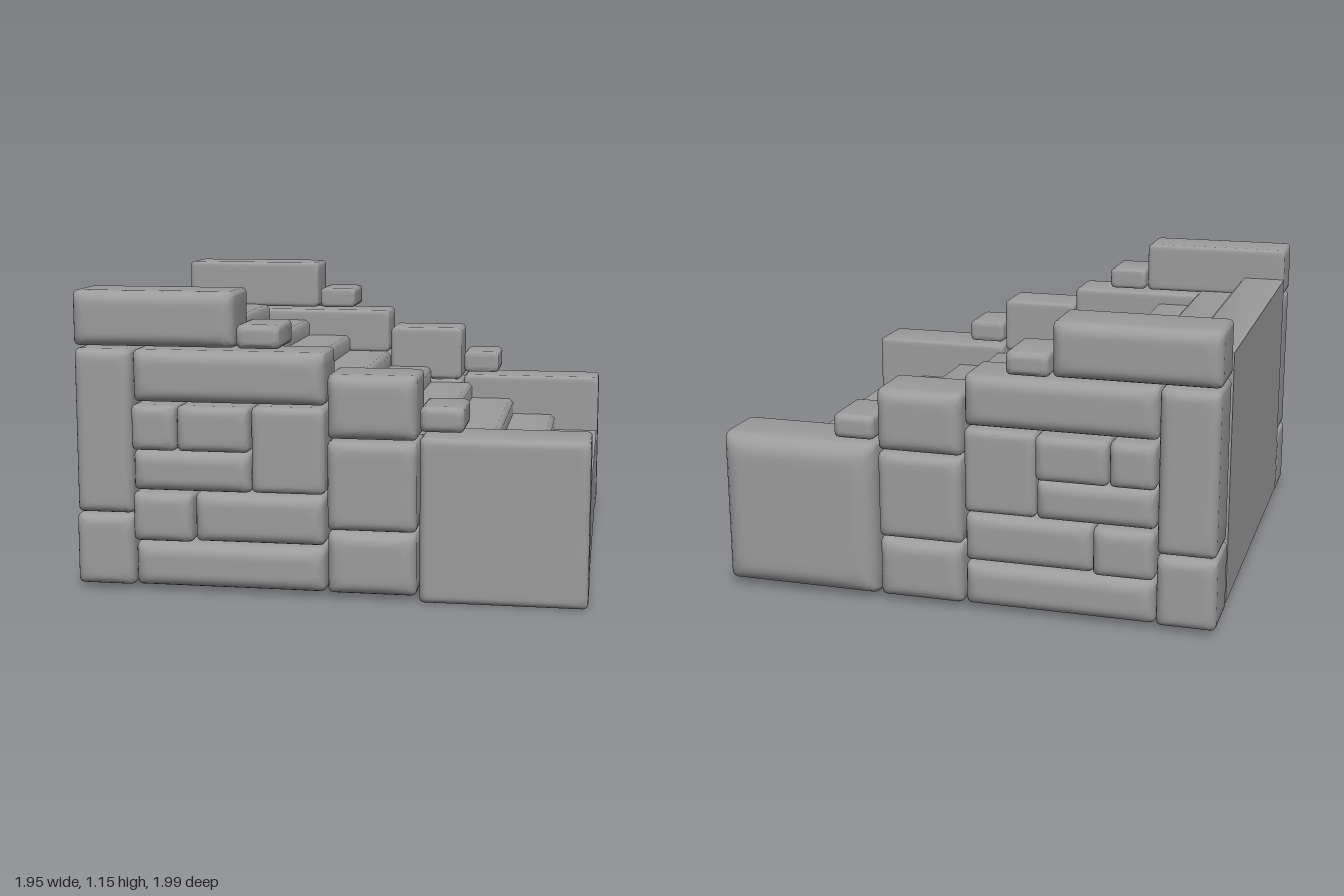
import * as THREE from 'three';
import { toCreasedNormals } from 'three/addons/utils/BufferGeometryUtils.js';

const material = new THREE.MeshStandardMaterial({ color: 0x9c9c9c });
const SEG = 10;
const INNER_Z = 0.72;

// Grid coordinate (-0.5..0.5) to position, with two rows kept inside each corner
function spread(t, half, corner) {
  const k = Math.round(Math.abs(t) * SEG);
  const core = half - corner;
  const size = k <= 3 ? core * k / 3 : core + corner * (k - 3) / 2;
  return Math.sign(t) * size;
}

// Stone with a softly rounded outer (+z) face and a tighter inner edge
function stoneGeometry(w, h, d, round) {
  const geo = new THREE.BoxGeometry(1, 1, 1, SEG, SEG, SEG);
  const p = geo.attributes.position;
  const tight = 0.016;
  const r = Math.min(round, w * 0.3, h * 0.3);
  for (let i = 0; i < p.count; i++) {
    const row = Math.round((p.getZ(i) + 0.5) * SEG);
    let z, inset;
    if (row <= 3) {
      const a = (1 - row / 3) * Math.PI / 2;
      z = tight * (1 - Math.sin(a));
      inset = tight * (1 - Math.cos(a));
    } else {
      const a = Math.max(0, (row - 4) / 6) * Math.PI / 2;
      z = d - r + r * Math.sin(a);
      inset = r * (1 - Math.cos(a));
    }
    // rounded rectangle, rounder towards the outer face
    const hw = w / 2 - inset, hh = h / 2 - inset;
    const corner = Math.min(0.018 + inset * 0.6, hw * 0.6, hh * 0.6);
    let x = spread(p.getX(i), hw, corner), y = spread(p.getY(i), hh, corner);
    const dx = Math.abs(x) - (hw - corner), dy = Math.abs(y) - (hh - corner);
    if (dx > 1e-6 && dy > 1e-6) {
      const s = Math.max(dx, dy) / Math.hypot(dx, dy);
      x = Math.sign(x) * (hw - corner + dx * s);
      y = Math.sign(y) * (hh - corner + dy * s);
    }
    p.setXYZ(i, x, y, z);
  }
  return toCreasedNormals(geo, 0.9);
}

// name, x0, x1, y0, y1, outer z, edge rounding
const STONES = [
  ['topCapStone', -0.972, -0.35, 0.94, 1.15, 0.975, 0.05],
  ['upperStepStone', -0.34, -0.175, 0.94, 1.03, 0.968, 0.03],
  ['tallCornerStone', -0.97, -0.75, 0.3, 0.93, 0.97, 0.04],
  ['lowCornerStone', -0.975, -0.75, 0.02, 0.295, 0.972, 0.04],
  ['lintelStone', -0.745, -0.01, 0.73, 0.928, 0.968, 0.05],
  ['baseStone', -0.745, -0.01, 0.02, 0.19, 0.968, 0.05],
  ['shortStone', -0.745, -0.513, 0.2, 0.388, 0.992, 0.04],
  ['longStone', -0.508, -0.012, 0.2, 0.388, 0.97, 0.045],
  ['middleStone', -0.745, -0.292, 0.393, 0.547, 0.975, 0.045],
  ['smallStone', -0.745, -0.573, 0.55, 0.723, 0.992, 0.035],
  ['squareStone', -0.568, -0.292, 0.55, 0.723, 0.992, 0.035],
  ['uprightStone', -0.288, -0.01, 0.395, 0.723, 0.965, 0.03],
  ['columnTopStone', 0, 0.335, 0.608, 0.85, 0.975, 0.05],
  ['columnMiddleStone', 0, 0.335, 0.263, 0.602, 0.975, 0.04],
  ['columnBaseStone', 0, 0.335, 0.02, 0.257, 0.975, 0.05],
  ['lowerStepStone', 0.347, 0.51, 0.645, 0.74, 0.968, 0.03],
];

function addStone(wall, [name, x0, x1, y0, y1, outer, round]) {
  const mesh = new THREE.Mesh(stoneGeometry(x1 - x0, y1 - y0, outer - INNER_Z, round), material);
  mesh.name = name;
  mesh.position.set((x0 + x1) / 2, (y0 + y1) / 2, INNER_Z);
  wall.add(mesh);
}

// Solid flight of ten steps with softened noses, descending towards +x
function createStairs() {
  const count = 10, left = -0.975, run = 0.1945, top = 1.02, rise = 0.071, nose = 0.018;
  const shape = new THREE.Shape();
  shape.moveTo(left, 0.04);
  shape.lineTo(left + run * count, 0.04);
  for (let i = count - 1; i >= 0; i--) {
    const x = left + run * (i + 1), y = top - rise * i;
    if (i === count - 1) shape.lineTo(x, y);
    else {
      shape.lineTo(x, y - nose);
      shape.lineTo(x - nose, y);
    }
    shape.lineTo(x - run, y);
  }
  const geo = new THREE.ExtrudeGeometry(shape, { depth: 1.43, bevelEnabled: false });
  geo.translate(0, 0, -0.715);
  const mesh = new THREE.Mesh(toCreasedNormals(geo, 1), material);
  mesh.name = 'stairs';
  return mesh;
}

export function createModel() {
  const model = new THREE.Group();
  model.name = 'stoneStaircase';
  model.add(createStairs());

  // Side walls: the back one is mirrored in x, then turned to face backwards
  for (const side of [1, -1]) {
    const wall = new THREE.Group();
    wall.name = side > 0 ? 'frontWall' : 'backWall';
    for (const [name, x0, x1, ...rest] of STONES) {
      addStone(wall, side > 0 ? [name, x0, x1, ...rest] : [name, -x1, -x0, ...rest]);
    }
    // the end block is thicker and rounder at the back
    if (side > 0) addStone(wall, ['endBlock', 0.347, 0.972, 0, 0.627, 0.972, 0.03]);
    else addStone(wall, ['endBlock', -0.975, -0.347, 0.02, 0.63, 0.998, 0.08]);
    if (side < 0) wall.rotation.y = Math.PI;
    model.add(wall);
  }
  return model;
}
